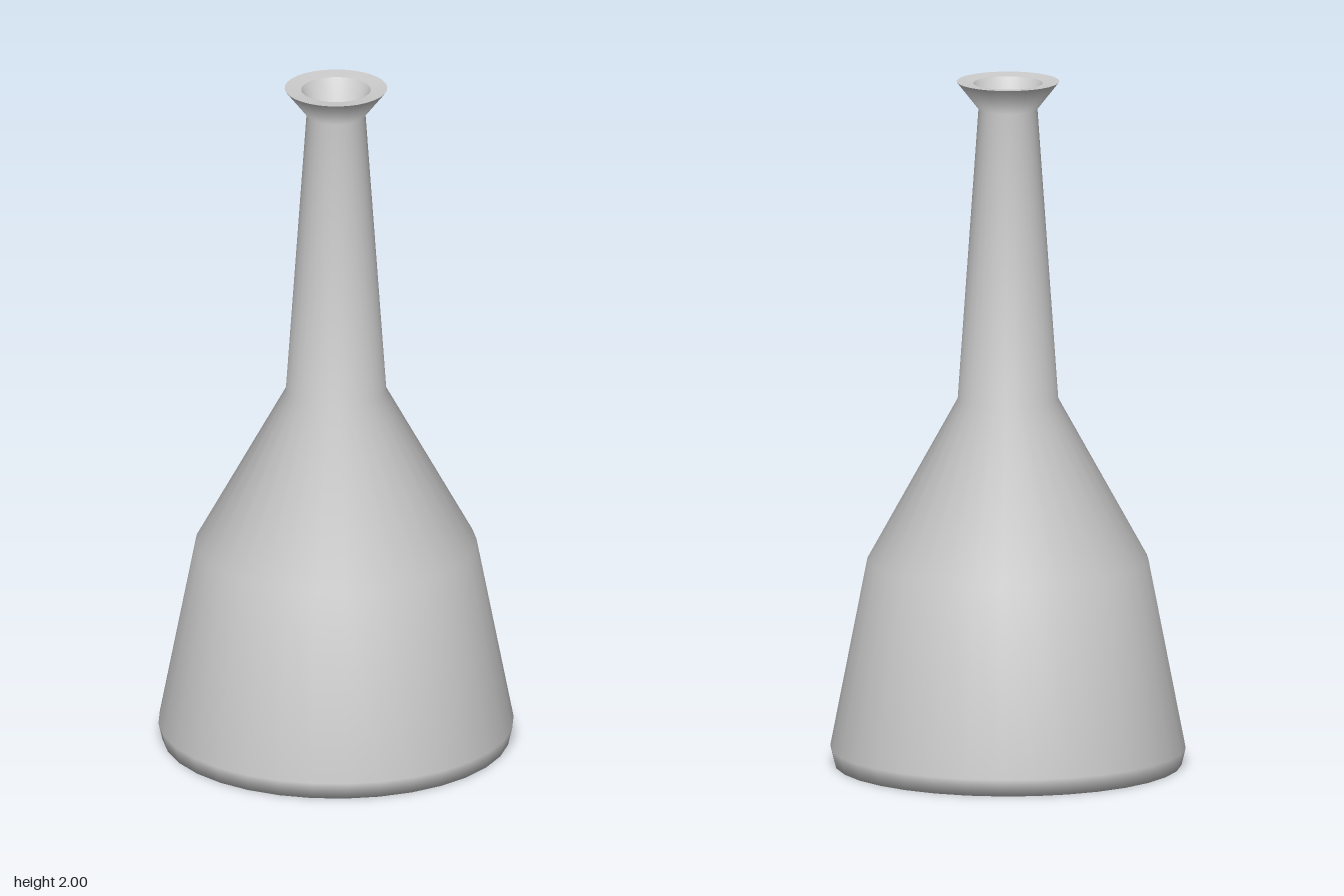
import * as THREE from 'three';

const SIDES = 32;
const material = new THREE.MeshStandardMaterial({ color: 0xcccccc });

// Turns a [radius, height] profile around the vertical axis
function turned(name, profile) {
  const points = profile.map(([r, y]) => new THREE.Vector2(r, y));
  const mesh = new THREE.Mesh(new THREE.LatheGeometry(points, SIDES), material);
  mesh.name = name;
  return mesh;
}

export function createModel() {
  const group = new THREE.Group();
  group.name = 'bottle';

  // Closed base, bevelled foot, tapering body, shoulder, neck and flared lip
  group.add(turned('bottleBody', [
    [0, 0], [0.5, 0], [0.512, 0.05], [0.405, 0.6],
    [0.145, 1.07], [0.085, 1.92], [0.148, 2],
  ]));

  // Flat rim
  group.add(turned('rim', [[0.148, 2], [0.1, 1.995]]));

  // Shallow hollow inside the mouth
  group.add(turned('mouthHollow', [[0.1, 1.995], [0.06, 1.93], [0, 1.92]]));

  return group;
}
